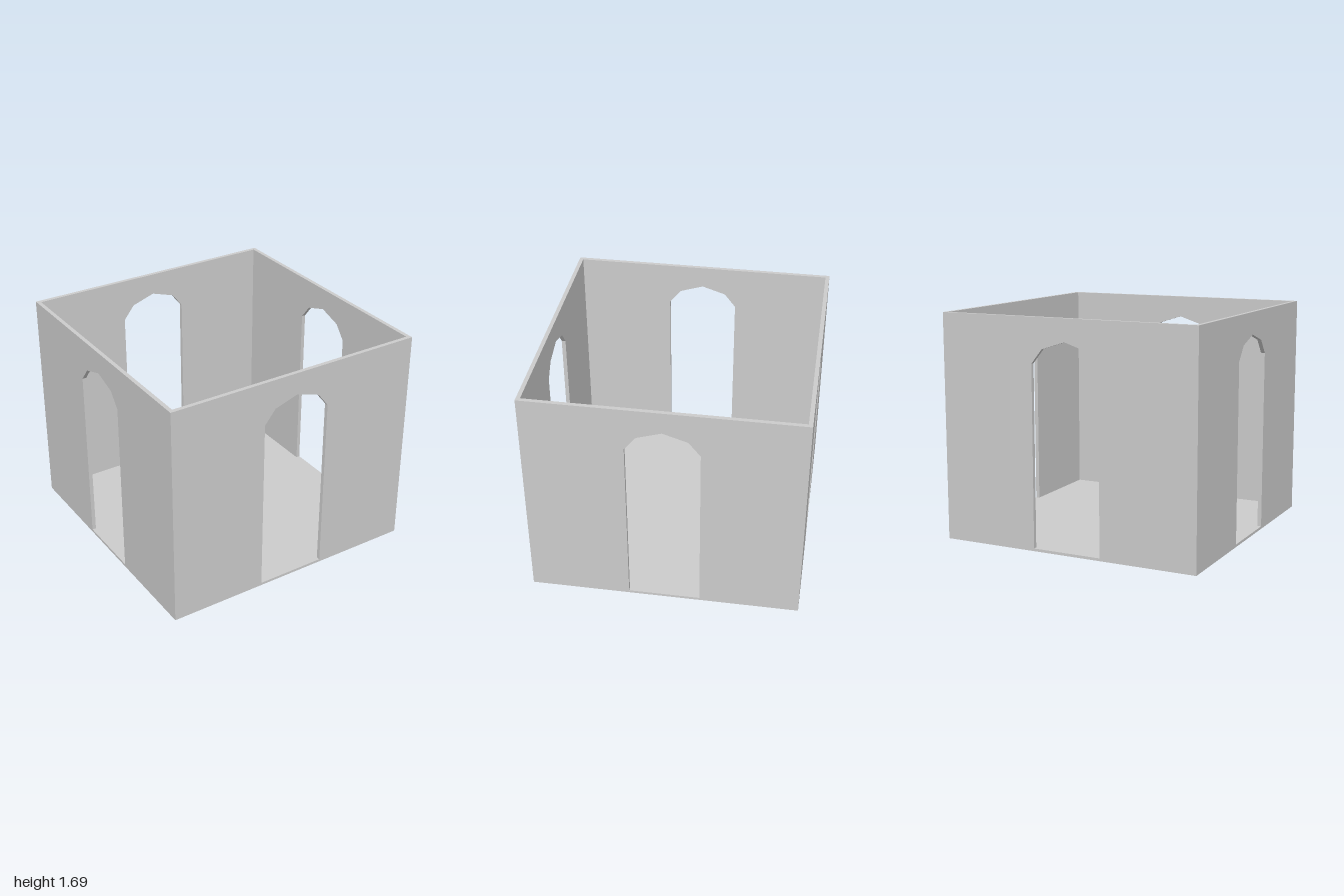
import * as THREE from 'three';

const HALF = 1;          // half the outer width
const HEIGHT = 1.69;
const FLOOR = 0.02;      // floor slab thickness
const THICK = 0.03;      // wall thickness

// Wall with an arched doorway, mitred at both ends; outer face at z = HALF
function wallGeometry() {
  const outline = [
    [-HALF, FLOOR], [-0.265, FLOOR],
    [-0.265, 1.36], [-0.18, 1.467], [0, 1.525], [0.18, 1.467], [0.265, 1.36],
    [0.265, FLOOR], [HALF, FLOOR], [HALF, HEIGHT], [-HALF, HEIGHT],
  ];
  const shape = new THREE.Shape(outline.map(([x, y]) => new THREE.Vector2(x, y)));
  const geometry = new THREE.ExtrudeGeometry(shape, { depth: THICK, bevelEnabled: false });
  geometry.translate(0, 0, HALF - THICK);

  // Pull the inner corners in so neighbouring walls meet at 45 degrees
  const p = geometry.attributes.position;
  for (let i = 0; i < p.count; i++) {
    if (Math.abs(p.getX(i)) > HALF - 0.001) p.setX(i, Math.sign(p.getX(i)) * p.getZ(i));
  }
  geometry.computeVertexNormals();
  return geometry;
}

export function createModel() {
  const model = new THREE.Group();
  model.name = 'roofless room';
  const material = new THREE.MeshStandardMaterial({ color: 0xcccccc, flatShading: true });

  // Floor slab, flush with the outer wall faces
  const floor = new THREE.Mesh(new THREE.BoxGeometry(2 * HALF, FLOOR, 2 * HALF), material);
  floor.name = 'floor';
  floor.position.y = FLOOR / 2;
  model.add(floor);

  // Four identical walls, one per side
  const geometry = wallGeometry();
  ['frontWall', 'leftWall', 'backWall', 'rightWall'].forEach((name, i) => {
    const wall = new THREE.Mesh(geometry, material);
    wall.name = name;
    wall.rotation.y = i * Math.PI / 2;
    model.add(wall);
  });

  return model;
}
